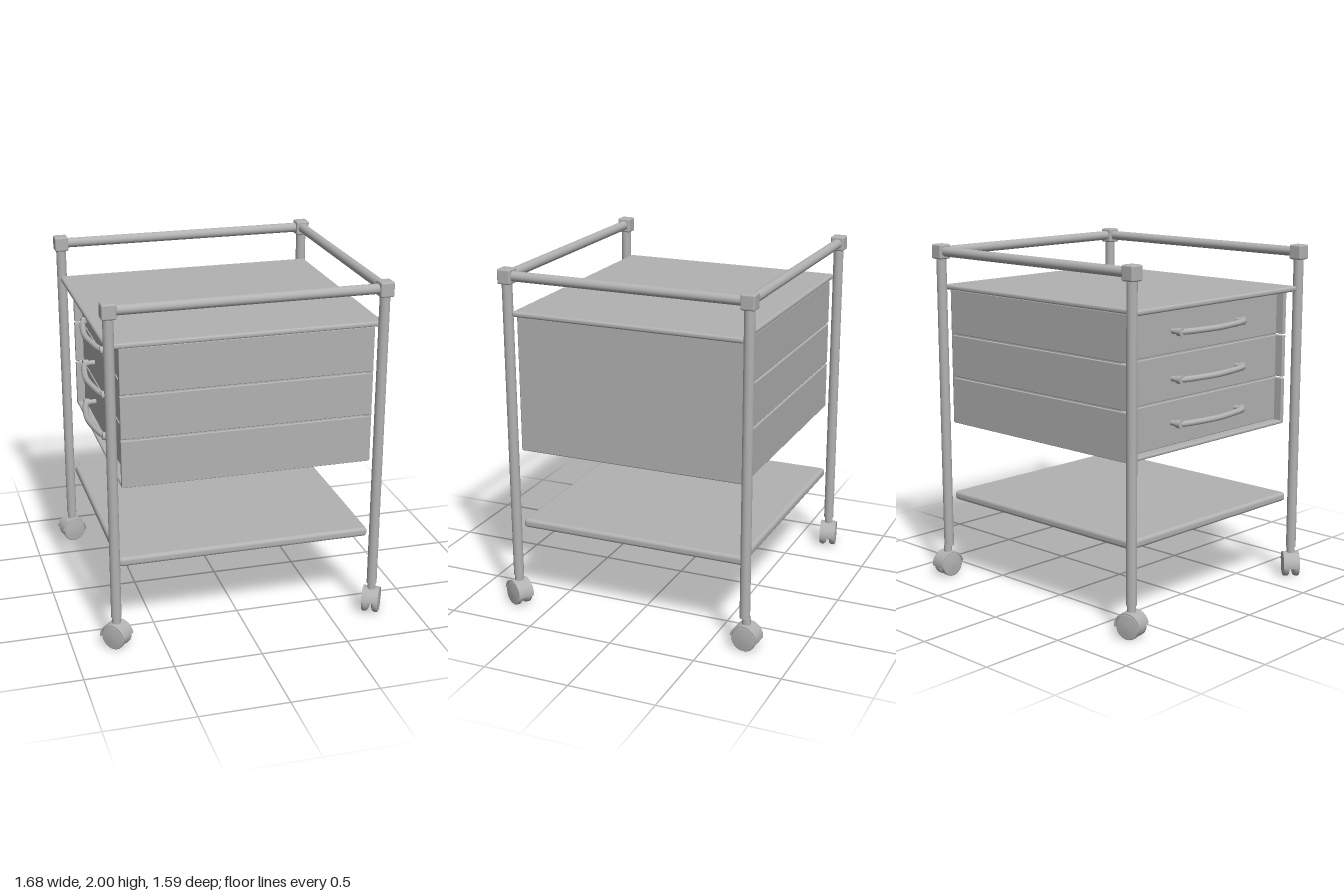
import * as THREE from 'three';
import { RoundedBoxGeometry } from 'three/addons/geometries/RoundedBoxGeometry.js';

const PX = 0.755, PZ = 0.70; // post centres

export function createModel() {
  const model = new THREE.Group();
  model.name = 'drawerTrolley';
  const grey = new THREE.MeshStandardMaterial({ color: 0xb2b2b2 });
  grey.name = 'grey';

  const add = (parent, name, geometry, x = 0, y = 0, z = 0) => {
    const mesh = new THREE.Mesh(geometry, grey);
    mesh.name = name;
    mesh.position.set(x, y, z);
    parent.add(mesh);
    return mesh;
  };
  // rounded box given by its limits
  const block = (parent, name, x0, x1, y0, y1, z0, z1, r = 0.004) =>
    add(parent, name, new RoundedBoxGeometry(x1 - x0, y1 - y0, z1 - z0, 3, r),
      (x0 + x1) / 2, (y0 + y1) / 2, (z0 + z1) / 2);
  const rod = (r, length) => new THREE.CylinderGeometry(r, r, length, 24);

  // posts with corner caps
  for (const sx of [-1, 1]) for (const sz of [-1, 1]) {
    add(model, 'post', rod(0.029, 1.752), sx * PX, 1.064, sz * PZ);
    add(model, 'cornerCap', new RoundedBoxGeometry(0.08, 0.085, 0.08, 3, 0.01),
      sx * PX, 1.9575, sz * PZ);
  }

  // top rails on three sides; the drawer side stays open
  for (const sz of [-1, 1])
    add(model, 'longRail', rod(0.028, 2 * PX - 0.06), 0, 1.958, sz * PZ).rotation.z = Math.PI / 2;
  add(model, 'sideRail', rod(0.028, 2 * PZ - 0.06), PX, 1.958, 0).rotation.x = Math.PI / 2;

  // top plate and lower shelf
  block(model, 'topPlate', -0.77, 0.77, 1.733, 1.764, -0.672, 0.672, 0.013);
  block(model, 'lowerShelf', -0.727, 0.727, 0.474, 0.527, -0.672, 0.672, 0.02);

  // cabinet shell: core, floor, closed end
  const cabinet = new THREE.Group();
  cabinet.name = 'cabinet';
  model.add(cabinet);
  block(cabinet, 'cabinetCore', -0.64, 0.70, 0.96, 1.733, -0.658, 0.658);
  block(cabinet, 'cabinetFloor', -0.698, 0.722, 0.945, 0.965, -0.668, 0.668, 0.008);
  block(cabinet, 'endPanel', 0.69, 0.722, 0.945, 1.737, -0.668, 0.668, 0.008);

  // three tiers: side panels with grooves between, recessed drawer fronts and bowed handles
  const tiers = [[0.947, 1.217, 1.095], [1.227, 1.470, 1.34], [1.480, 1.737, 1.60]];
  const bow = new THREE.CatmullRomCurve3([
    [-0.705, -0.275], [-0.722, -0.23], [-0.74, -0.13], [-0.752, 0],
    [-0.74, 0.13], [-0.722, 0.23], [-0.705, 0.275],
  ].map(([x, z]) => new THREE.Vector3(x, 0, z)));
  for (const [y0, y1, yHandle] of tiers) {
    for (const s of [-1, 1])
      block(cabinet, 'sidePanel', -0.698, 0.712, y0, y1, s * 0.656 - 0.014, s * 0.656 + 0.014);
    block(cabinet, 'drawerFront', -0.652, -0.62, Math.max(y0, 0.97), y1, -0.64, 0.64);
    const handle = new THREE.Group();
    handle.name = 'handle';
    handle.position.y = yHandle;
    cabinet.add(handle);
    add(handle, 'handleBar', new THREE.TubeGeometry(bow, 32, 0.017, 12));
    for (const s of [-1, 1]) {
      add(handle, 'handleFoot', rod(0.015, 0.06), -0.675, 0, s * 0.272).rotation.z = Math.PI / 2;
      add(handle, 'handleKnob', rod(0.022, 0.03), -0.707, 0, s * 0.272).rotation.z = Math.PI / 2;
    }
  }

  // twin-wheel casters, each swivelled differently (axle runs along local x)
  const wheelProfile = [[0, -0.021], [0.05, -0.021], [0.062, -0.017], [0.07, -0.006],
    [0.07, 0.012], [0.064, 0.018], [0, 0.021]].map(([r, h]) => new THREE.Vector2(r, h));
  const wheelGeometry = new THREE.LatheGeometry(wheelProfile, 32);
  const hoodShape = new THREE.Shape();
  hoodShape.absarc(0, 0, 0.08, -0.1, Math.PI * 0.95, false);
  hoodShape.absarc(0, 0, 0.071, Math.PI * 0.95, -0.1, true);
  const hoodGeometry = new THREE.ExtrudeGeometry(hoodShape,
    { depth: 0.096, bevelEnabled: false, curveSegments: 24 });
  hoodGeometry.translate(0, 0, -0.048);
  hoodGeometry.rotateY(Math.PI / 2);

  const addCaster = (x, z, turn) => {
    const caster = new THREE.Group();
    caster.name = 'caster';
    caster.position.set(x, 0.075, z);
    caster.rotation.y = turn;
    model.add(caster);
    for (const s of [-1, 1])
      add(caster, 'wheel', wheelGeometry, s * 0.03).rotation.z = -s * Math.PI / 2;
    add(caster, 'axle', rod(0.02, 0.04)).rotation.z = Math.PI / 2;
    add(caster, 'hood', hoodGeometry);
    add(caster, 'stem', rod(0.024, 0.05), 0, 0.095, 0);
  };
  addCaster(-PX, PZ, Math.PI / 4);
  addCaster(PX, PZ, -Math.PI / 6);
  addCaster(PX, -PZ - 0.01, -0.06);
  addCaster(-PX, -PZ, -1.37);

  return model;
}
